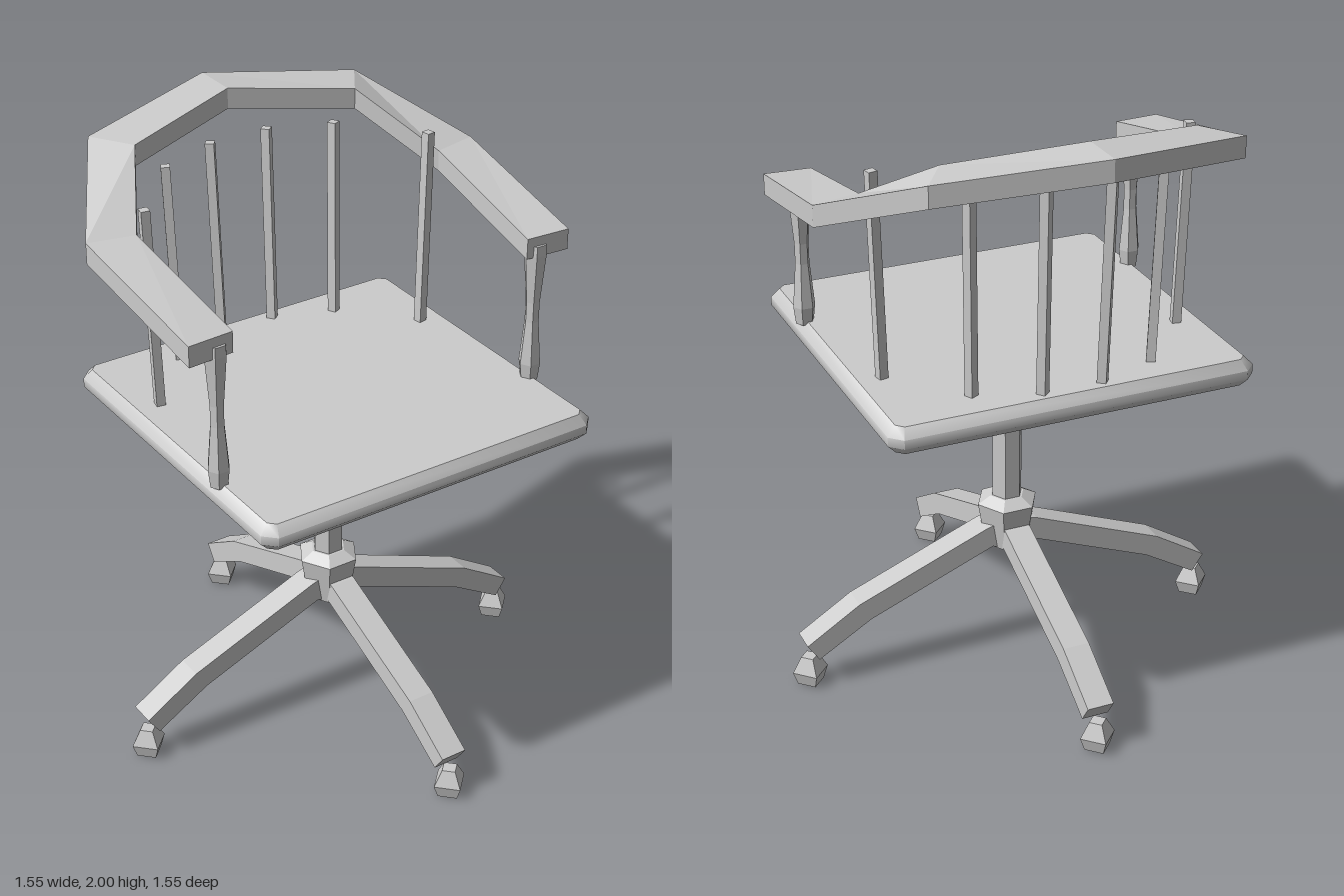
import * as THREE from 'three';
import { toCreasedNormals } from 'three/addons/utils/BufferGeometryUtils.js';

export function createModel() {
  const group = new THREE.Group();
  const grey = new THREE.MeshStandardMaterial({ color: 0xcccccc });
  grey.name = 'plain grey';

  const add = (name, geometry) => {
    const mesh = new THREE.Mesh(geometry, grey);
    mesh.name = name;
    group.add(mesh);
    return mesh;
  };
  // Faceted normals for the low-poly parts
  const facet = (geometry) => {
    const g = geometry.index ? geometry.toNonIndexed() : geometry;
    g.computeVertexNormals();
    return g;
  };
  // Turned part from [radius, y] pairs, listed bottom to top, with a corner on the x axis
  const turned = (sides, profile) => facet(new THREE.LatheGeometry(
    profile.map(([r, y]) => new THREE.Vector2(r, y)), sides, Math.PI / 2));
  const outline = (points) => new THREE.Shape(points.map(([x, y]) => new THREE.Vector2(x, y)));

  // Seat: cut corners and a soft edge
  const bevel = 0.028, w = 0.61 - bevel, d = 0.585 - bevel, c = 0.022;
  const seat = new THREE.ExtrudeGeometry(outline([
    [-w + c, -d], [w - c, -d], [w, -d + c], [w, d - c],
    [w - c, d], [-w + c, d], [-w, d - c], [-w, -d + c],
  ]), { depth: 0.03, bevelSize: bevel, bevelThickness: 0.03, bevelSegments: 1 });
  seat.rotateX(-Math.PI / 2).translate(0, 1.12, 0.025);
  add('seat', toCreasedNormals(seat, 0.79));

  // Swivel mount, column and base hub
  add('seatMount', turned(6, [[0, 0.96], [0.065, 0.96], [0.135, 1.015], [0.16, 1.1], [0, 1.1]]));
  add('column', turned(6, [[0, 0.5], [0.052, 0.5], [0.052, 0.97], [0, 0.97]]));
  add('baseHub', turned(6, [[0, 0.38], [0.08, 0.38], [0.105, 0.535], [0.06, 0.56], [0, 0.56]]));

  // Four bent legs with casters
  const legShape = outline([
    [0.03, 0.375], [0.07, 0.39], [0.51, 0.215], [0.695, 0.105],
    [0.735, 0.165], [0.55, 0.28], [0.09, 0.463], [0.03, 0.48],
  ]);
  for (let i = 0; i < 4; i++) {
    const angle = i * Math.PI / 2;
    const leg = new THREE.ExtrudeGeometry(legShape, { depth: 0.09, bevelEnabled: false });
    add('leg', facet(leg.translate(0, 0, -0.045))).rotation.y = angle;
    const caster = add('caster', turned(4, [[0, 0], [0.045, 0], [0.061, 0.045], [0.03, 0.1], [0, 0.1]]));
    caster.position.set(0.715 * Math.cos(angle), 0, -0.715 * Math.sin(angle));
  }

  // Curved arm and back rail: inner x, inner z, outer x, outer z, middle height
  const half = [
    [0.535, 0.315, 0.688, 0.325, 1.652],
    [0.56, -0.195, 0.715, -0.23, 1.755],
    [0.41, -0.462, 0.5, -0.6, 1.913],
  ];
  const stations = [...half, [0, -0.585, 0, -0.745, 1.965],
    ...half.map(([a, b, e, f, y]) => [-a, b, -e, f, y]).reverse()];
  const corners = [], faces = [];
  stations.forEach(([ix, iz, ox, oz, y], s) => {
    const t = 0.035;
    corners.push(ix, y + t, iz, ox, y + t, oz, ox, y - t, oz, ix, y - t, iz);
    if (s === 0) return;
    for (let j = 0; j < 4; j++) {
      const k = (j + 1) % 4, a = (s - 1) * 4, b = s * 4;
      faces.push(a + j, a + k, b + k, a + j, b + k, b + j);
    }
  });
  const last = (stations.length - 1) * 4;
  faces.push(0, 3, 2, 0, 2, 1, last, last + 1, last + 2, last, last + 2, last + 3);
  const rail = new THREE.BufferGeometry();
  rail.setAttribute('position', new THREE.Float32BufferAttribute(corners, 3));
  rail.setIndex(faces);
  add('armAndBackRail', facet(rail));

  // Rods of the back lean slightly: foot x, foot z, top x, top z
  const rods = [[0.1, -0.495, 0.106, -0.525], [0.302, -0.422, 0.315, -0.447], [0.505, -0.2, 0.525, -0.207]];
  const up = new THREE.Vector3(0, 1, 0);
  for (const side of [1, -1]) {
    for (const [fx, fz, tx, tz] of rods) {
      const foot = new THREE.Vector3(side * fx, 1.17, fz);
      const top = new THREE.Vector3(side * tx, 1.86, tz);
      const dir = top.clone().sub(foot);
      const geometry = new THREE.CylinderGeometry(0.021, 0.021, dir.length(), 4);
      geometry.rotateY(Math.atan2(side * fx, -fz) * -0.5);
      const rod = add('backRod', facet(geometry));
      rod.position.copy(foot).add(top).multiplyScalar(0.5);
      rod.quaternion.setFromUnitVectors(up, dir.normalize());
    }

    // Waisted post under each arm
    const post = add('armPost', turned(6, [
      [0, 1.17], [0.03, 1.17], [0.037, 1.23], [0.024, 1.38],
      [0.024, 1.45], [0.038, 1.62], [0.036, 1.655], [0, 1.655],
    ]));
    post.position.set(side * 0.584, 0, 0.295);
  }
  return group;
}
